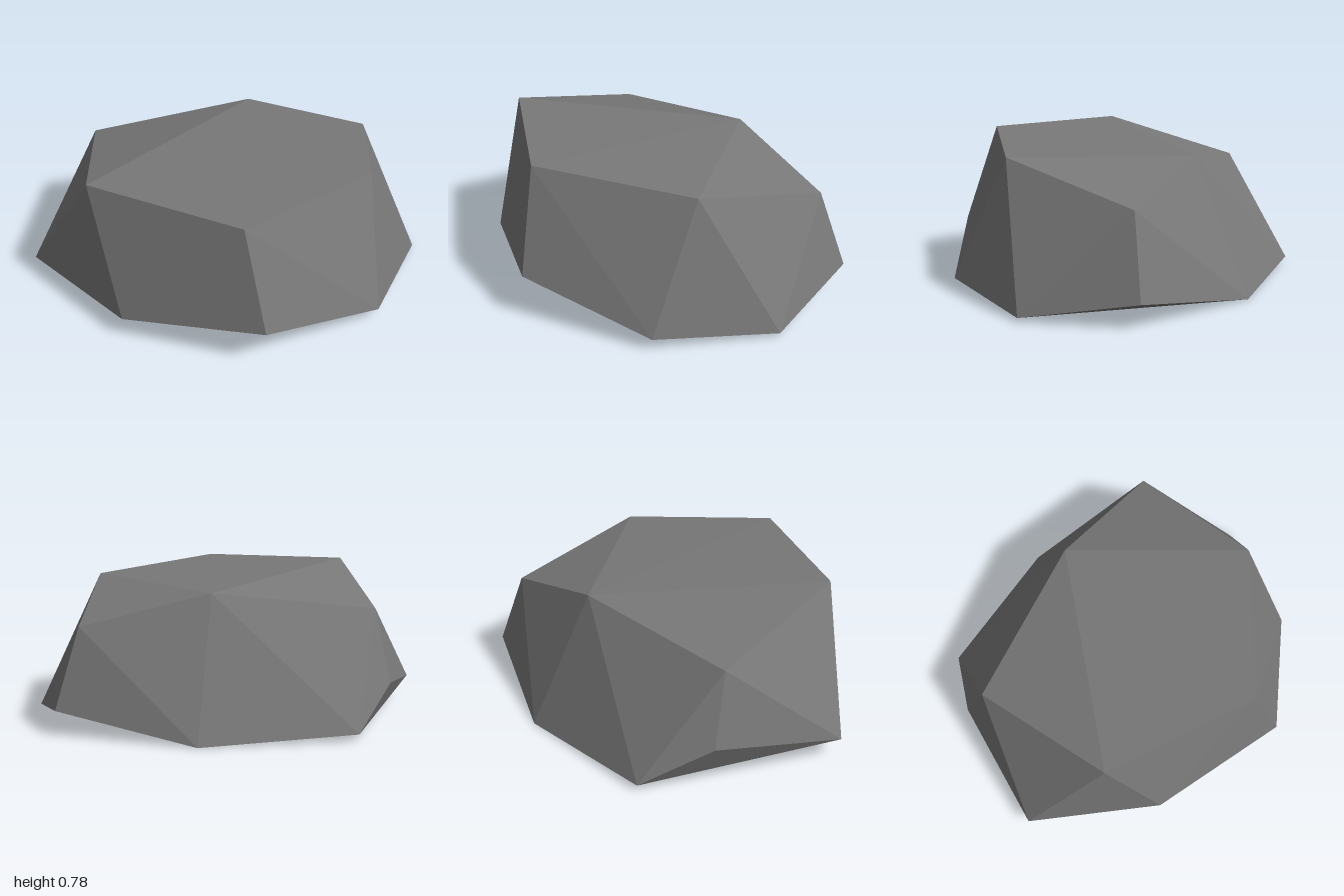
import * as THREE from 'three';
import { ConvexGeometry } from 'three/addons/geometries/ConvexGeometry.js';

// Corners of the tilted base, going round the boulder
const baseRing = [
  [-1, 0.115, -0.49], [-0.41, 0.22, -0.84], [-0.05, 0.035, -0.945],
  [0.61, 0, -0.51], [1, 0.125, 0.12], [0.76, 0.02, 0.66],
  [0.19, 0.07, 0.94], [-0.5, 0.25, 0.85], [-0.91, 0.13, 0.22],
];

// Corners of the sloping crown
const crownRing = [
  [-0.43, 0.59, -0.71], [-0.87, 0.78, -0.07], [-0.49, 0.775, 0.67],
  [0.34, 0.715, 0.67], [0.85, 0.53, 0.12], [0.34, 0.695, -0.3],
];

export function createModel() {
  const group = new THREE.Group();
  group.name = 'rock';

  const stone = new THREE.MeshStandardMaterial({ color: 0x787878, flatShading: true });
  stone.name = 'grey stone';

  // One faceted boulder stretched over both rings
  const corners = [...baseRing, ...crownRing].map((p) => new THREE.Vector3(...p));
  const boulder = new THREE.Mesh(new ConvexGeometry(corners), stone);
  boulder.name = 'boulder';
  group.add(boulder);

  return group;
}
